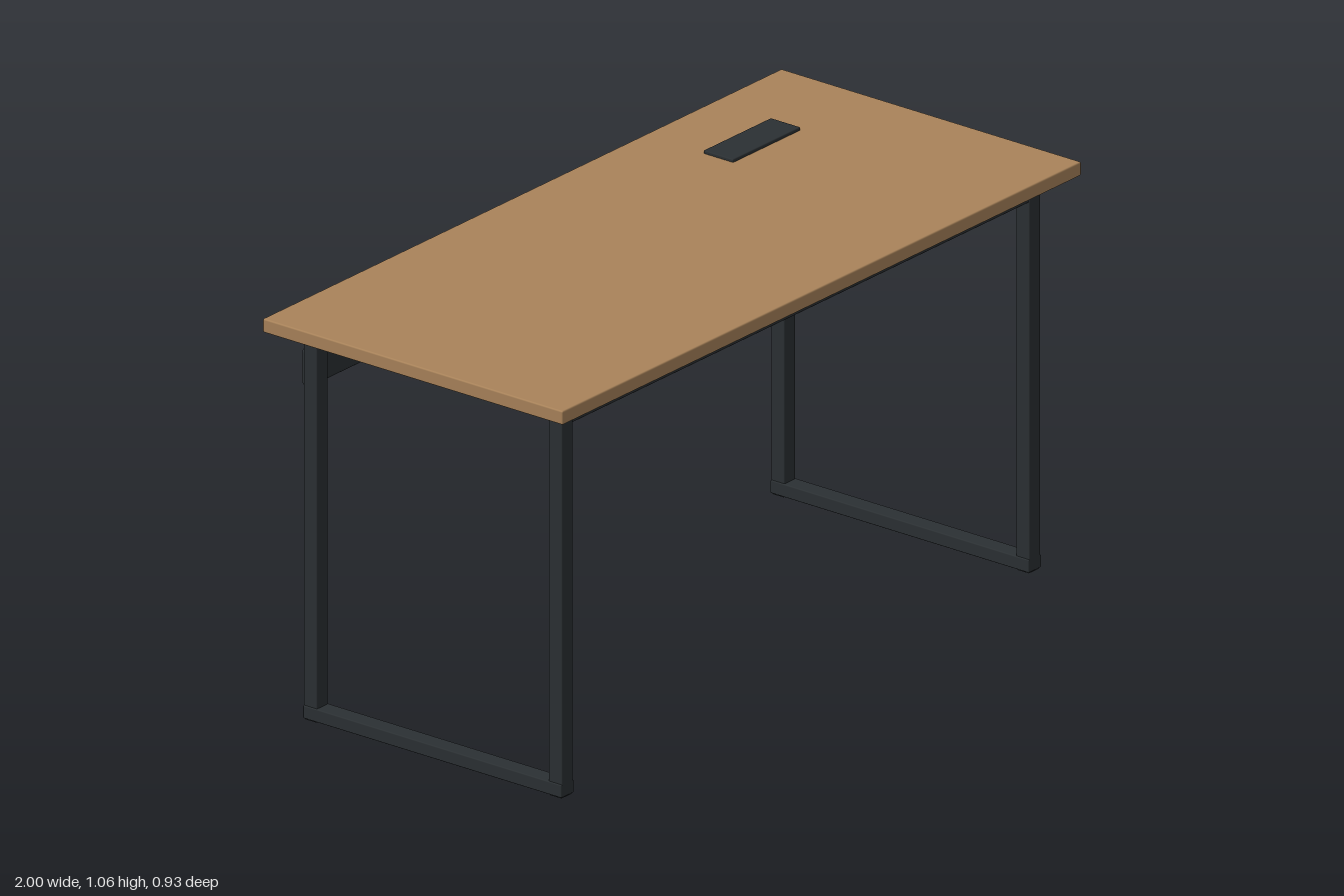
import * as THREE from 'three';
import { RoundedBoxGeometry } from 'three/addons/geometries/RoundedBoxGeometry.js';

const wood = new THREE.MeshStandardMaterial({ color: 0xa9835a });
const steel = new THREE.MeshStandardMaterial({ color: 0x2b3033 });

// Softened box given by its [min, max] range on each axis
function bar(name, [x0, x1], [y0, y1], [z0, z1], material = steel, radius = 0.003) {
  const geometry = new RoundedBoxGeometry(x1 - x0, y1 - y0, z1 - z0, 2, radius);
  const mesh = new THREE.Mesh(geometry, material);
  mesh.name = name;
  mesh.position.set((x0 + x1) / 2, (y0 + y1) / 2, (z0 + z1) / 2);
  return mesh;
}

// Rectangular leg frame: two uprights, top and bottom rails, foot pads
function legFrame(name, x) {
  const frame = new THREE.Group();
  frame.name = name;
  const wide = [-0.024, 0.024];
  frame.add(bar('topRail', wide, [1.0, 1.02], [-0.4, 0.4]));
  frame.add(bar('bottomRail', wide, [0.003, 0.037], [-0.4, 0.4]));
  for (const [end, z] of [['front', 0.379], ['back', -0.379]]) {
    frame.add(bar(end + 'Leg', [-0.021, 0.021], [0.01, 1.015], [z - 0.021, z + 0.021]));
    frame.add(bar(end + 'FootPad', [-0.02, 0.02], [0, 0.006], [z - 0.018, z + 0.018], steel, 0.001));
  }
  frame.position.x = x;
  return frame;
}

export function createModel() {
  const desk = new THREE.Group();
  desk.name = 'desk';

  // Wooden top with the cable cover set into it
  desk.add(bar('tabletop', [-1, 1], [1.02, 1.056], [-0.464, 0.464], wood, 0.004));
  desk.add(bar('cableCover', [0.47, 0.73], [1.05, 1.064], [-0.28, -0.188], steel, 0.003));

  // Side frames
  desk.add(legFrame('leftFrame', 0.901), legFrame('rightFrame', -0.901));

  // Long rails joining the frames
  for (const [name, z] of [['frontRail', 0.379], ['backRail', -0.379]]) {
    desk.add(bar(name, [-0.885, 0.885], [0.97, 1.01], [z - 0.018, z + 0.018]));
  }

  // Rounded modesty panel across the back
  desk.add(bar('modestyPanel', [-0.915, 0.915], [0.866, 0.964], [-0.415, -0.385], steel, 0.011));
  return desk;
}
